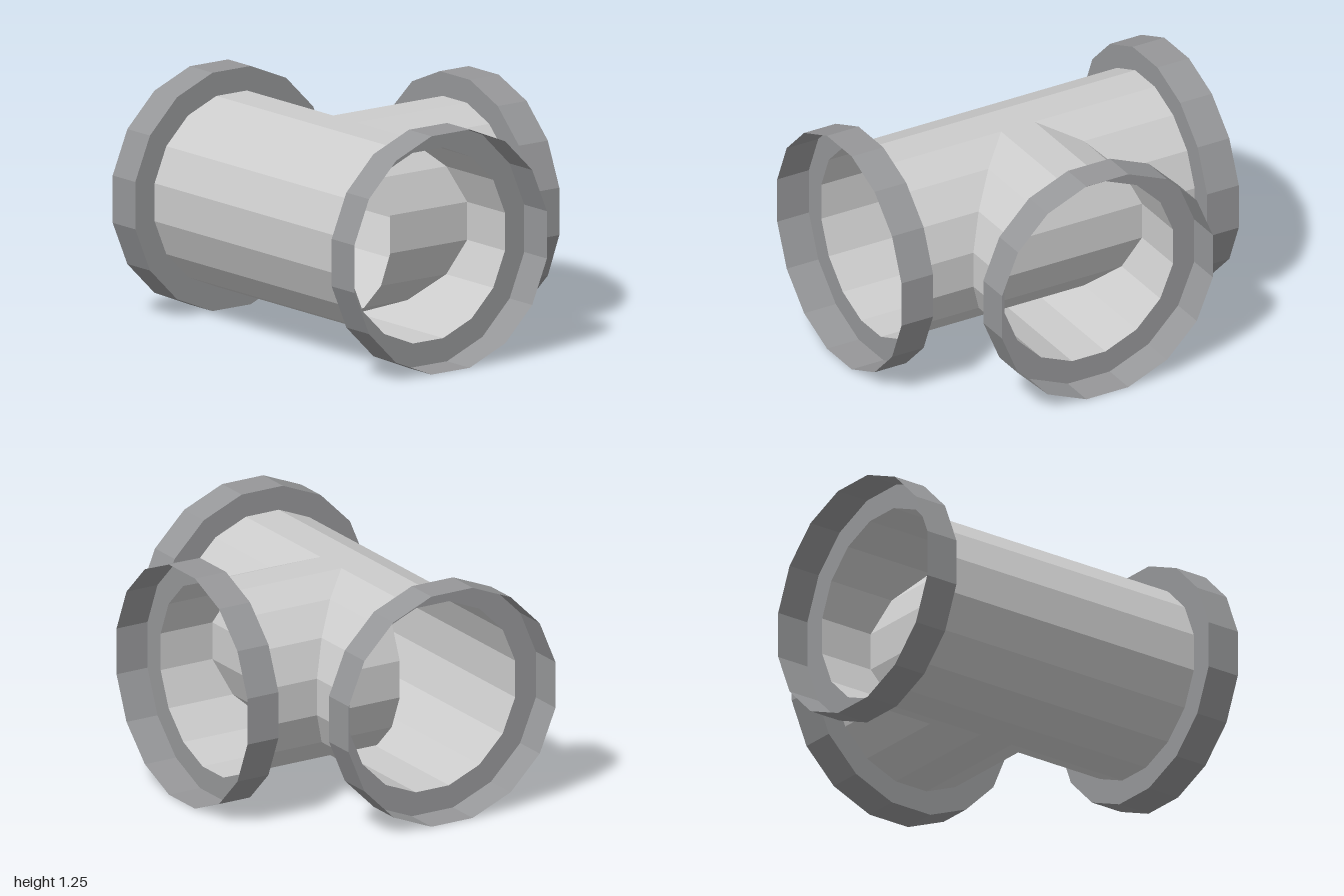
import * as THREE from 'three';

const SIDES = 16;
const HALF_STEP = Math.PI / SIDES; // turns a flat, not a corner, to the top
const K = 1 / Math.cos(HALF_STEP); // flat-to-corner ratio
const PIPE_R = 0.5 * K, FLANGE_R = 0.625 * K;
const REACH = 1, PIPE_END = 0.8125; // distances from the joint along each arm

// Flat normals for a faceted surface
function faceted(geo) {
  const flat = geo.toNonIndexed();
  flat.computeVertexNormals();
  return flat;
}

// Thin-walled open tube along y, from one height to another
function tubeGeometry(from, to) {
  const geo = new THREE.CylinderGeometry(PIPE_R, PIPE_R, to - from, SIDES, 1, true, HALF_STEP);
  return faceted(geo.translate(0, (from + to) / 2, 0));
}

// Thin-walled socket: a flat collar around the pipe end and an open outer wall
function flangeGeometry() {
  const profile = [[PIPE_R, PIPE_END], [FLANGE_R, PIPE_END], [FLANGE_R, REACH]]
    .map(([r, y]) => new THREE.Vector2(r, y));
  return faceted(new THREE.LatheGeometry(profile, SIDES, HALF_STEP));
}

export function createModel() {
  const pipeGrey = new THREE.MeshStandardMaterial({ color: 0xcccccc, side: THREE.DoubleSide });
  pipeGrey.name = 'pipe light grey';
  const flangeGrey = new THREE.MeshStandardMaterial({ color: 0x969799, side: THREE.DoubleSide });
  flangeGrey.name = 'flange mid grey';

  const model = new THREE.Group();
  model.name = 'pipeTee';
  const tee = new THREE.Group();
  tee.name = 'teeBody';
  tee.position.set(0, 0.625, 0.1875);
  model.add(tee);

  const add = (name, geo, mat, rx, rz) => {
    const mesh = new THREE.Mesh(geo, mat);
    mesh.name = name;
    mesh.rotation.set(rx, 0, rz);
    tee.add(mesh);
  };
  const quarter = Math.PI / 2;

  // Straight run, uncut, and the rear branch that starts on its axis
  add('runPipe', tubeGeometry(-PIPE_END, PIPE_END), pipeGrey, 0, -quarter);
  add('branchPipe', tubeGeometry(0, PIPE_END), pipeGrey, -quarter, 0);

  // A socket flange on each of the three ends
  add('leftFlange', flangeGeometry(), flangeGrey, 0, -quarter);
  add('rightFlange', flangeGeometry(), flangeGrey, 0, quarter);
  add('branchFlange', flangeGeometry(), flangeGrey, -quarter, 0);

  return model;
}
